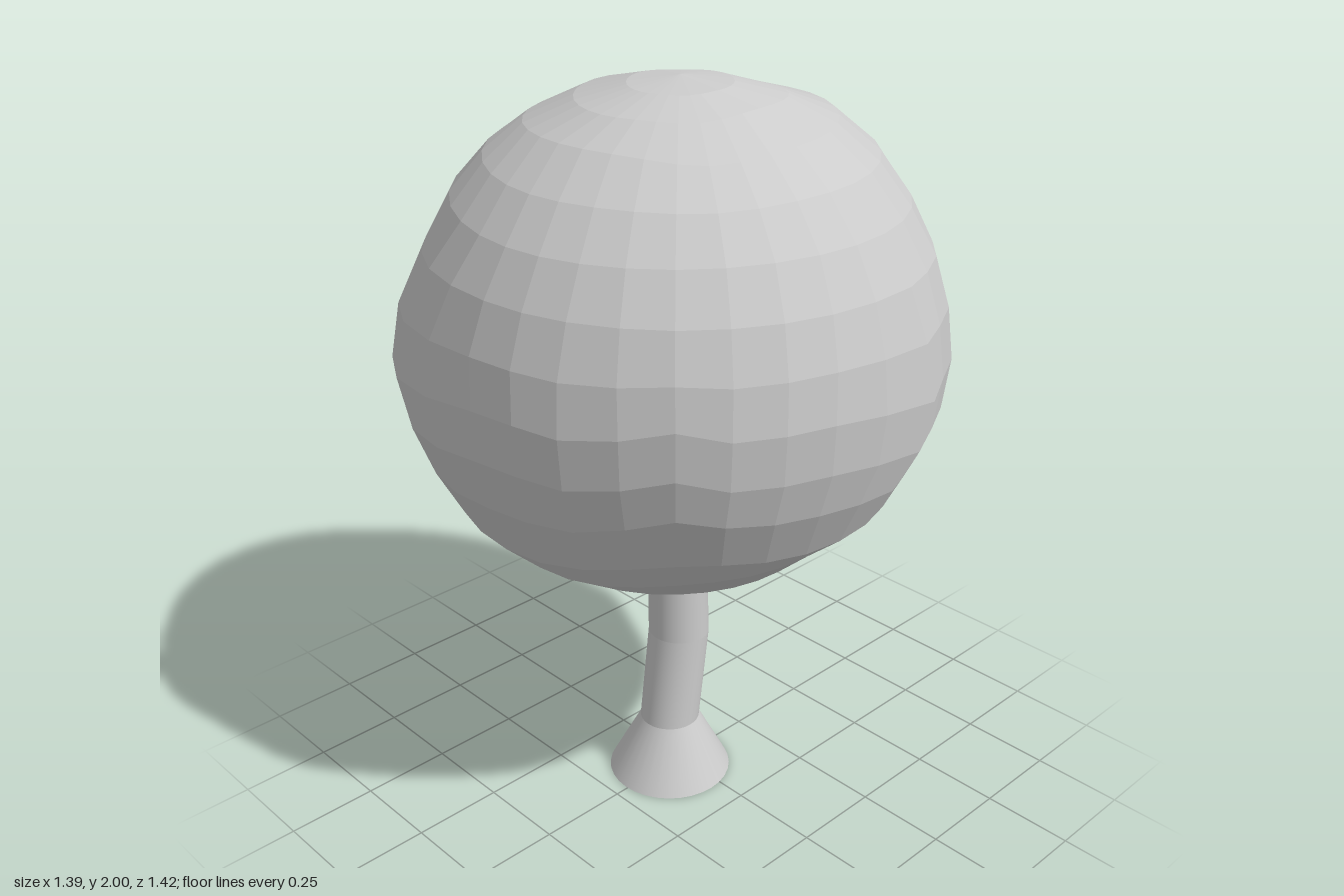
import * as THREE from 'three';

const SIDES = 32;
const grey = new THREE.MeshStandardMaterial({ color: 0xcccccc });

// One straight piece of wood between two rings { x, y, r, tilt }; tilt is the
// growth direction in degrees, so neighbouring pieces meet in a mitre.
function limb(name, from, to, capStart = false, capEnd = false) {
  const pos = [], idx = [];
  const addRing = ({ x, y, r, tilt }) => {
    const t = THREE.MathUtils.degToRad(tilt), start = pos.length / 3;
    for (let i = 0; i < SIDES; i++) {
      const a = (i / SIDES) * Math.PI * 2, c = Math.cos(a) * r;
      pos.push(x + Math.sin(t) * c, y - Math.cos(t) * c, Math.sin(a) * r);
    }
    return start;
  };
  const cap = (ring, flip) => {
    const s = addRing(ring), c = pos.length / 3;
    pos.push(ring.x, ring.y, 0);
    for (let i = 0; i < SIDES; i++) {
      const a = s + i, b = s + (i + 1) % SIDES;
      idx.push(c, flip ? a : b, flip ? b : a);
    }
  };
  const lo = addRing(from), hi = addRing(to);
  for (let i = 0; i < SIDES; i++) {
    const n = (i + 1) % SIDES;
    idx.push(lo + i, hi + i, lo + n, hi + i, hi + n, lo + n);
  }
  if (capStart) cap(from, true);
  if (capEnd) cap(to, false);
  const geo = new THREE.BufferGeometry();
  geo.setAttribute('position', new THREE.Float32BufferAttribute(pos, 3));
  geo.setIndex(idx);
  geo.computeVertexNormals();
  const mesh = new THREE.Mesh(geo, grey);
  mesh.name = name;
  mesh.position.z = -0.007;
  return mesh;
}

// Crown radius around the waist, from -x through +z, +x and -z
const WAIST = [
  0.67, 0.665, 0.68, 0.645, 0.59, 0.65, 0.65, 0.65,
  0.68, 0.72, 0.69, 0.69, 0.67, 0.66, 0.67, 0.71,
  0.685, 0.69, 0.70, 0.70, 0.70, 0.71, 0.72, 0.70,
  0.71, 0.69, 0.67, 0.70, 0.715, 0.73, 0.735, 0.71,
];
// Crown radius from top to bottom along the -x, +z, +x and -z sides
const SPINES = [
  [0.67, 0.66, 0.665, 0.685, 0.665, 0.655, 0.66, 0.69, 0.69, 0.69, 0.7, 0.71, 0.69, 0.67, 0.65, 0.625, 0.605],
  [0.67, 0.665, 0.685, 0.68, 0.68, 0.68, 0.68, 0.675, 0.68, 0.675, 0.66, 0.675, 0.65, 0.655, 0.65, 0.625, 0.605],
  [0.67, 0.67, 0.67, 0.7, 0.7, 0.685, 0.69, 0.685, 0.69, 0.69, 0.68, 0.68, 0.67, 0.64, 0.6, 0.6, 0.605],
  [0.67, 0.67, 0.68, 0.685, 0.705, 0.72, 0.695, 0.7, 0.7, 0.7, 0.7, 0.72, 0.695, 0.67, 0.62, 0.6, 0.605],
];
// Hollows in the crown: row, column, depth
const DENTS = [[3, 5, 0.03], [3, 20, 0.03], [10.5, 4, 0.04]];

// Blend neighbouring spines, easing into the waist near the middle rows
function crownRadius(row, column) {
  const quarter = Math.floor(column / 8), t = (column % 8) / 8;
  const side = THREE.MathUtils.lerp(
    SPINES[quarter][row], SPINES[(quarter + 1) % 4][row], t * t * (3 - 2 * t));
  const nearWaist = Math.max(0, 1 - Math.abs(row - 8) / 3);
  let radius = THREE.MathUtils.lerp(side, WAIST[column], nearWaist);
  for (const [r, c, depth] of DENTS) {
    radius -= depth * Math.exp(-(((row - r) / 1.4) ** 2) - ((column - c) / 2) ** 2);
  }
  return radius;
}

// Lumpy crown: the facets keep the even shading of the round ball they came from
function crown() {
  const rings = 16;
  const geo = new THREE.SphereGeometry(1, SIDES, rings).toNonIndexed();
  geo.computeVertexNormals();
  const p = geo.attributes.position;
  const v = new THREE.Vector3();
  for (let k = 0; k < p.count; k++) {
    v.fromBufferAttribute(p, k);
    const row = Math.round(Math.acos(THREE.MathUtils.clamp(v.y, -1, 1)) / Math.PI * rings);
    const turn = Math.atan2(v.z, -v.x) / (Math.PI * 2);
    const column = (Math.round(turn * SIDES) + SIDES) % SIDES;
    const onPole = row === 0 || row === rings;
    v.multiplyScalar(crownRadius(row, onPole ? 0 : column));
    p.setXYZ(k, v.x, v.y, v.z);
  }
  const mesh = new THREE.Mesh(geo, grey);
  mesh.name = 'crown';
  mesh.position.y = 1.33;
  return mesh;
}

export function createModel() {
  const tree = new THREE.Group();
  tree.name = 'tree';

  // Flared foot and the bent trunk
  const ground = { x: -0.036, y: 0, r: 0.174, tilt: 90 };
  const ankle = { x: -0.035, y: 0.173, r: 0.084, tilt: 90 };
  const knee = { x: 0.001, y: 0.445, r: 0.085, tilt: 88 };
  const top = { x: -0.006, y: 0.82, r: 0.08, tilt: 90 };
  tree.add(
    limb('trunkFlare', ground, ankle, true),
    limb('lowerTrunk', ankle, knee),
    limb('upperTrunk', knee, top, false, true),
  );

  // Side branch, bending to level
  const root = { x: 0.023, y: 0.61, r: 0.08, tilt: 30 };
  const elbow = { x: 0.227, y: 0.702, r: 0.055, tilt: 17 };
  const tip = { x: 0.448, y: 0.72, r: 0.046, tilt: 4 };
  tree.add(
    limb('branchBase', root, elbow, true),
    limb('branchTip', elbow, tip, false, true),
  );

  tree.add(crown());
  return tree;
}
